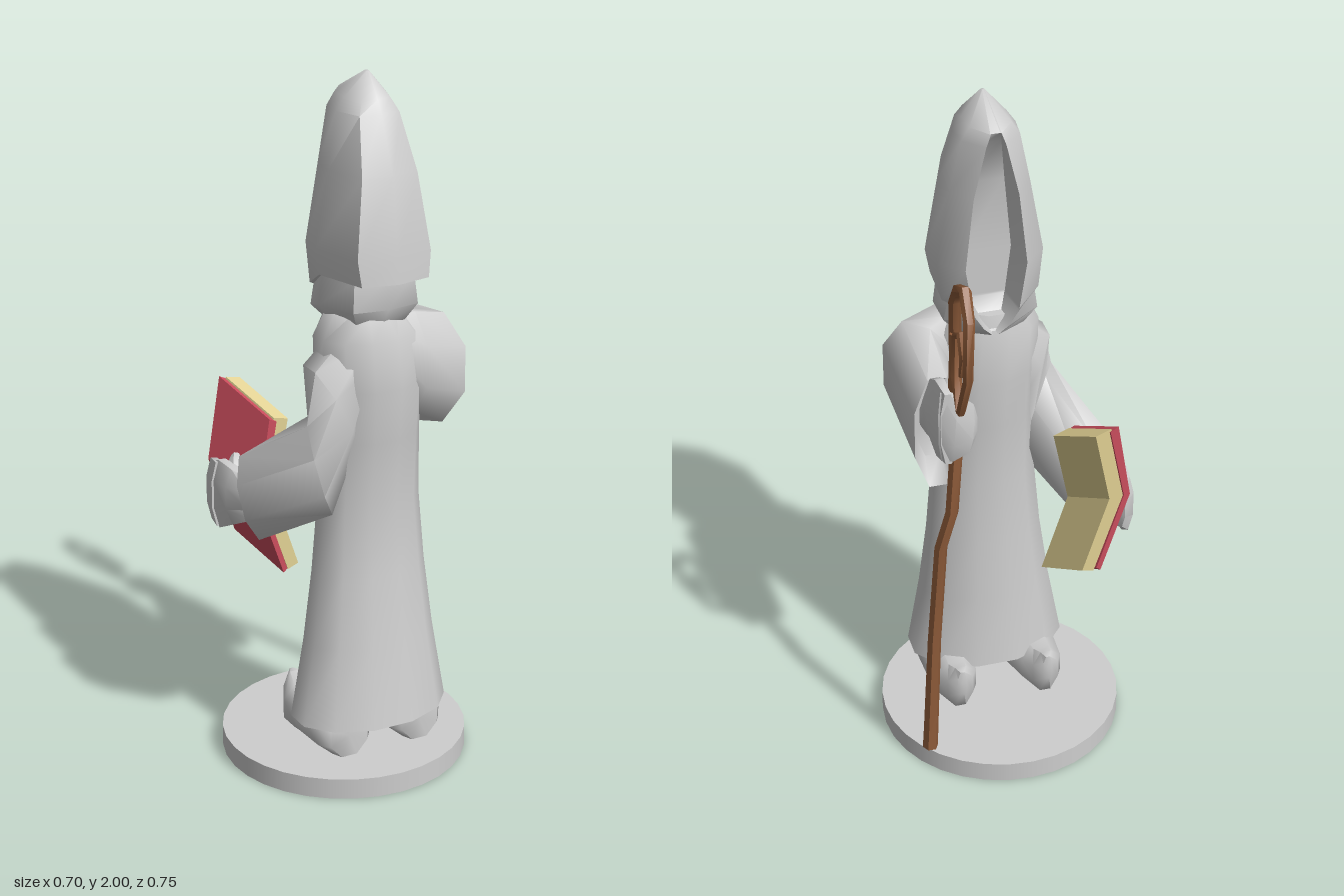
import * as THREE from 'three';
import { toCreasedNormals } from 'three/addons/utils/BufferGeometryUtils.js';

const V = (x, y, z) => new THREE.Vector3(x, y, z);

// Skin a list of rings (equal point counts) and close both ends
function loft(rings, crease = 1.1) {
  const n = rings[0].length, pos = [], idx = [];
  rings.forEach(r => r.forEach(p => pos.push(p.x, p.y, p.z)));
  for (let i = 0; i < rings.length - 1; i++) {
    for (let j = 0; j < n; j++) {
      const a = i * n + j, b = i * n + (j + 1) % n;
      idx.push(a, b, b + n, a, b + n, a + n);
    }
  }
  [[0, true], [rings.length - 1, false]].forEach(([r, start]) => {
    const c = V(0, 0, 0);
    rings[r].forEach(p => c.addScaledVector(p, 1 / n));
    const k = pos.length / 3;
    pos.push(c.x, c.y, c.z);
    for (let j = 0; j < n; j++) {
      const a = r * n + j, b = r * n + (j + 1) % n;
      if (start) idx.push(k, b, a); else idx.push(k, a, b);
    }
  });
  const g = new THREE.BufferGeometry();
  g.setAttribute('position', new THREE.Float32BufferAttribute(pos, 3));
  g.setIndex(idx);
  return toCreasedNormals(g, crease);
}

// Oval ring around c spanned by the half axes u and v
function oval(c, u, v, n = 10) {
  return Array.from({ length: n }, (_, i) => {
    const a = (i + 0.5) / n * Math.PI * 2;
    return c.clone().addScaledVector(u, Math.cos(a) * 1.05).addScaledVector(v, Math.sin(a) * 1.03);
  });
}

// Rings listed as [x, y, z, half height, half width], running towards -z
const limb = rows => loft(rows.map(([x, y, z, h, w]) => oval(V(x, y, z), V(0, h, 0), V(w, 0, 0), 8)));

// Rod through points [x, y, z, radius], optionally stretched in height
function rod(points, sides = 6, tall = 1) {
  const p = points.map(q => V(q[0], q[1], q[2]));
  return loft(p.map((c, i) => {
    const t = p[Math.min(i + 1, p.length - 1)].clone().sub(p[Math.max(i - 1, 0)]).normalize();
    const ref = Math.abs(t.x) > 0.8 || tall > 1 ? V(0, 1, 0) : V(1, 0, 0);
    const u = ref.clone().cross(t).normalize();
    const v = t.clone().cross(u);
    const r = points[i][3];
    return oval(c, u.multiplyScalar(r), v.multiplyScalar(r * tall), sides);
  }), 0.8);
}

export function createModel() {
  const mat = (name, color, side = THREE.FrontSide) => {
    const m = new THREE.MeshStandardMaterial({ color, side });
    m.name = name;
    return m;
  };
  const grey = mat('light grey', 0xcecece, THREE.DoubleSide);
  const wood = mat('wood brown', 0x8f5c3a);
  const red = mat('cover red', 0xcc4e5e);
  const cream = mat('page cream', 0xe2d294);

  const model = new THREE.Group();
  const add = (name, geo, material, parent = model) => {
    const m = new THREE.Mesh(geo, material);
    m.name = name;
    parent.add(m);
    return m;
  };

  // Round base
  add('base', new THREE.CylinderGeometry(0.35, 0.35, 0.06, 32), grey).position.set(0, 0.03, 0.023);

  // Robe: y, centre x, half width, centre z, half depth
  const robe = [
    [0.17, 0.012, 0.226, 0.15, 0.15], [0.4, 0.016, 0.188, 0.14, 0.122],
    [0.6, 0.02, 0.163, 0.13, 0.105], [0.8, 0.022, 0.147, 0.125, 0.09],
    [1.0, 0.02, 0.143, 0.13, 0.107], [1.15, 0.02, 0.15, 0.13, 0.117],
    [1.29, 0.01, 0.145, 0.13, 0.112], [1.36, 0, 0.095, 0.125, 0.09],
  ];
  add('robe', loft(robe.map(([y, x, w, z, d]) => oval(V(x, y, z), V(0, 0, d), V(w, 0, 0), 12))), grey);

  // Hood: y, rim half width, rim z, side half width, back z, side z, recess depth, drop at the front
  const hood = [
    [1.32, 0.008, 0.0, 0.1, 0.21, 0.1, 0.02, 0], [1.38, 0.035, -0.01, 0.143, 0.245, 0.12, 0.06, 0.03],
    [1.465, 0.062, -0.012, 0.132, 0.235, 0.12, 0.1, 0.07], [1.468, 0.064, -0.012, 0.147, 0.303, 0.13, 0.1, 0.065],
    [1.54, 0.085, -0.012, 0.16, 0.295, 0.13, 0.1, 0], [1.75, 0.062, -0.012, 0.12, 0.263, 0.13, 0.1, 0],
    [1.9, 0.027, -0.012, 0.086, 0.2, 0.11, 0.03, 0], [1.935, 0.015, -0.008, 0.062, 0.178, 0.11, 0.002, 0],
    [2.0, 0.003, 0.112, 0.005, 0.125, 0.12, 0.001, 0],
  ];
  add('hood', loft(hood.map(([y, w, zf, W, B, zm, deep, drop]) => {
    const zs = zm - (zm - zf) * 0.55, zb = zm + (B - zm) * 0.88;
    return [
      [-w, zf, 1], [-W * 0.92, zs, 0.7], [-W, zm, 0], [-W * 0.68, zb, 0], [0, B, 0],
      [W * 0.68, zb, 0], [W, zm, 0], [W * 0.92, zs, 0.7], [w, zf, 1],
      [w * 0.8, zf + deep, 1], [-w * 0.8, zf + deep, 1],
    ].map(([x, z, f]) => V(0.017 + x, y - drop * f, z));
  }), 1.0), grey);

  // Sleeves with hollow cuffs: ring centre, half height axis, half width axis
  const sleeve = (name, rings) => {
    const list = rings.map(([c, u, v]) => oval(V(...c), V(...u), V(...v), 8));
    const [c, u, v] = rings[rings.length - 1].map(q => V(...q));
    const back = V(...rings[rings.length - 2][0]).sub(c).multiplyScalar(0.3);
    list.push(oval(c.clone().add(back), u.multiplyScalar(0.75), v.multiplyScalar(0.75), 8));
    add(name, loft(list), grey);
  };
  sleeve('leftSleeve', [
    [[0.02, 1.255, 0.135], [0, 0.085, 0], [0, 0, 0.085]],
    [[0.13, 1.19, 0.14], [0, 0.15, 0], [0.02, 0, 0.088]],
    [[0.208, 1.15, 0.122], [0, 0.165, 0], [0.083, 0, 0.073]],
    [[0.207, 1.1, -0.1], [0, 0.18, 0], [0.068, 0, 0]],
  ]);
  sleeve('rightSleeve', [
    [[-0.02, 1.25, 0.135], [-0.02, 0.08, 0], [0, 0, -0.08]],
    [[-0.108, 1.1, 0.15], [-0.065, 0.12, 0], [0, 0, -0.09]],
    [[-0.15, 0.94, 0.17], [-0.034, 0.135, -0.01], [0.045, 0, -0.085]],
    [[-0.262, 0.81, -0.005], [-0.025, 0.13, -0.01], [0.062, 0, -0.037]],
  ]);

  // Left hand closed around the staff
  const leftHand = new THREE.Group();
  leftHand.name = 'leftHand';
  model.add(leftHand);
  add('palm', limb([
    [0.212, 1.12, -0.04, 0.06, 0.032], [0.216, 1.19, -0.11, 0.1, 0.034],
    [0.218, 1.2, -0.17, 0.125, 0.032], [0.21, 1.195, -0.225, 0.115, 0.022],
  ]), grey, leftHand);
  add('fingers', rod([
    [0.22, 1.195, -0.2, 0.026], [0.19, 1.195, -0.225, 0.024], [0.15, 1.19, -0.222, 0.018], [0.136, 1.19, -0.205, 0.012],
  ], 8, 4.4), grey, leftHand);
  add('thumb', rod([[0.22, 1.24, -0.13, 0.028], [0.18, 1.28, -0.148, 0.024], [0.148, 1.295, -0.162, 0.015]]), grey, leftHand);

  // Right hand under the book cover
  const rightHand = new THREE.Group();
  rightHand.name = 'rightHand';
  model.add(rightHand);
  add('palm', limb([
    [-0.27, 0.81, 0.03, 0.06, 0.035], [-0.3, 0.8, -0.04, 0.085, 0.036],
    [-0.315, 0.79, -0.1, 0.105, 0.028], [-0.318, 0.79, -0.14, 0.09, 0.018],
  ]), grey, rightHand);
  add('fingers', rod([
    [-0.325, 0.79, -0.1, 0.023], [-0.32, 0.79, -0.145, 0.022], [-0.298, 0.79, -0.168, 0.014],
  ], 8, 4.4), grey, rightHand);
  add('thumb', rod([[-0.3, 0.84, -0.05, 0.024], [-0.282, 0.88, -0.085, 0.02], [-0.268, 0.89, -0.11, 0.013]]), grey, rightHand);

  // Shoes with upturned toes
  [['rightShoe', -0.093, -0.122], ['leftShoe', 0.132, 0.138]].forEach(([name, heel, toe]) => {
    add(name, limb([
      [heel, 0.135, 0.235, 0.066, 0.06], [heel, 0.138, 0.2, 0.073, 0.086],
      [(heel + toe) / 2, 0.138, 0.08, 0.075, 0.078], [toe, 0.13, 0.0, 0.07, 0.062],
      [toe, 0.145, -0.045, 0.075, 0.04], [toe, 0.175, -0.068, 0.042, 0.014],
    ]), grey);
  });

  // Staff with a spiral crook
  const staff = new THREE.Group();
  staff.name = 'staff';
  model.add(staff);
  add('shaft', rod([
    [0.266, 0.06, -0.18, 0.022], [0.262, 0.13, -0.178, 0.021], [0.247, 0.45, -0.177, 0.019],
    [0.226, 0.78, -0.186, 0.018], [0.198, 0.91, -0.205, 0.018], [0.182, 1.08, -0.192, 0.018],
    [0.18, 1.3, -0.186, 0.019], [0.18, 1.47, -0.19, 0.014],
  ]), wood, staff);
  add('crook', rod([
    [0.178, 1.3, -0.18, 0.016], [0.175, 1.56, -0.174, 0.017], [0.173, 1.605, -0.2, 0.017],
    [0.178, 1.655, -0.29, 0.016], [0.185, 1.6, -0.352, 0.015], [0.192, 1.43, -0.36, 0.014],
    [0.194, 1.295, -0.295, 0.013], [0.192, 1.37, -0.238, 0.013], [0.19, 1.5, -0.245, 0.013],
    [0.19, 1.53, -0.29, 0.012], [0.19, 1.47, -0.312, 0.011], [0.19, 1.4, -0.285, 0.007],
  ]), wood, staff);

  // Open book: folded strips pushed out along the spine and slanted upwards
  const book = new THREE.Group();
  book.name = 'book';
  book.position.set(-0.264, 0.815, -0.116);
  book.rotation.y = 0.45;
  model.add(book);
  const slant = new THREE.Matrix4().makeShear(0, 0.3, 0, 0, 0, -0.5);
  const leaf = (name, near, far, reach, depth, material) => {
    const s = new THREE.Shape([
      [near, 0], [near + 0.082, -reach], [far + 0.076, -reach + 0.01],
      [far, 0], [far + 0.045, reach - 0.012], [near + 0.04, reach],
    ].map(([x, y]) => new THREE.Vector2(x, y)));
    const g = new THREE.ExtrudeGeometry(s, { depth, bevelEnabled: false });
    g.translate(0, 0, -depth / 2).applyMatrix4(slant);
    g.computeVertexNormals();
    add(name, g, material, book);
  };
  leaf('cover', -0.012, 0.006, 0.238, 0.176, red);
  leaf('pages', 0.006, 0.046, 0.235, 0.168, cream);

  return model;
}
